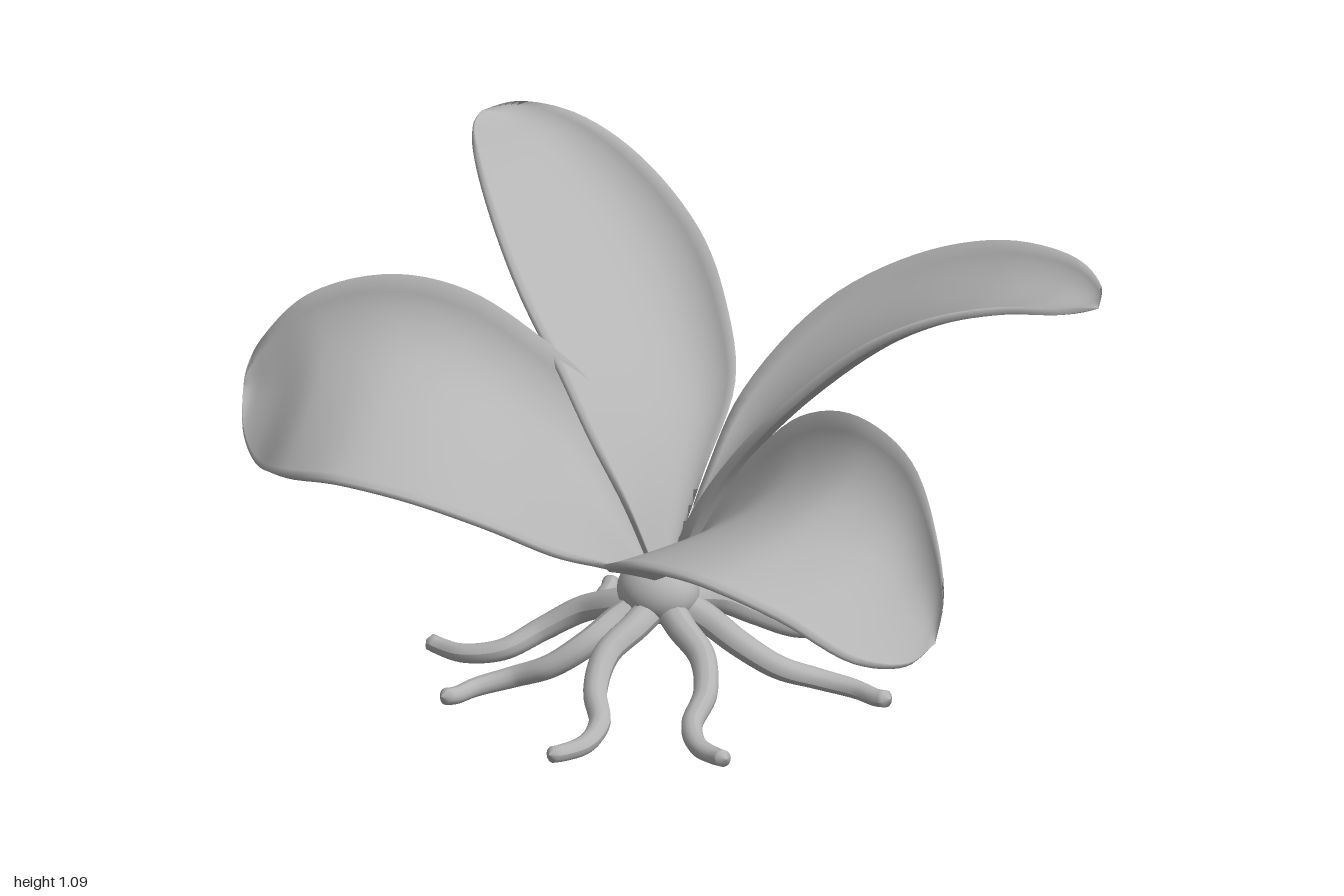
import * as THREE from 'three';

const grey = new THREE.MeshStandardMaterial({ color: 0xb4b4b4, side: THREE.DoubleSide });
grey.name = 'grey';

const curveOf = (pts) => new THREE.CatmullRomCurve3(pts.map((p) => new THREE.Vector3(...p)));

// Cupped leaf with a thin shell: each section runs along the inner face from front
// rim to back rim and returns along the outer face. It sags to the underside.
function makeLeaf(name, side, backRim, frontRim, sag = 0.27, thickness = 0.02) {
  const back = curveOf(backRim), front = curveOf(frontRim);
  const rows = 48, cols = 24, ring = 2 * (cols + 1), pos = [], index = [];
  const middle = (u) => back.getPoint(u).add(front.getPoint(u)).multiplyScalar(0.5);
  for (let i = 0; i <= rows; i++) {
    const u = i / rows;
    const b = back.getPoint(u), f = front.getPoint(u);
    const chord = b.clone().sub(f);
    const along = middle(Math.min(1, u + 0.03)).sub(middle(Math.max(0, u - 0.03)));
    const inner = along.cross(chord).multiplyScalar(side).normalize();
    const half = 0.5 * thickness * (1 - u ** 16);
    for (let j = 0; j < ring; j++) {
      const w = (j <= cols ? j : ring - 1 - j) / cols;
      const drop = sag * chord.length() * w ** 0.9 * (1 - w ** 4) ** 0.85;
      const p = f.clone().lerp(b, w).addScaledVector(inner, (j <= cols ? half : -half) - drop);
      pos.push(p.x, p.y, p.z);
      if (i < rows) {
        const a = i * ring + j, a1 = i * ring + ((j + 1) % ring), c = a + ring, c1 = a1 + ring;
        if (side > 0) index.push(a, c, a1, c, c1, a1);
        else index.push(a, a1, c, c, a1, c1);
      }
    }
  }
  const geo = new THREE.BufferGeometry();
  geo.setAttribute('position', new THREE.Float32BufferAttribute(pos, 3));
  geo.setIndex(index);
  geo.computeVertexNormals();
  const mesh = new THREE.Mesh(geo, grey);
  mesh.name = name;
  return mesh;
}

// Tube that tapers from r0 to r1 and closes at its far end.
function taperedTube(curve, r0, r1) {
  const segs = 48, sides = 12;
  const geo = new THREE.TubeGeometry(curve, segs, 1, sides, false);
  const pos = geo.attributes.position, p = new THREE.Vector3();
  for (let i = 0; i <= segs; i++) {
    const centre = curve.getPointAt(i / segs);
    const r = i === segs ? 0.0001 : r0 + (r1 - r0) * (i / segs);
    for (let j = 0; j <= sides; j++) {
      const k = i * (sides + 1) + j;
      p.fromBufferAttribute(pos, k).sub(centre).multiplyScalar(r).add(centre);
      pos.setXYZ(k, p.x, p.y, p.z);
    }
  }
  geo.computeVertexNormals();
  return geo;
}

// Wavy root from the bulb to its end on the ground.
function makeRoot(x, z, wave) {
  const len = Math.hypot(x, z), dx = x / len, dz = z / len;
  // distance along the root, height, sideways wiggle
  const path = [[0.05, 0.21, 0], [0.2, 0.18, -0.3], [0.36, 0.14, -0.9], [0.52, 0.085, -0.5],
    [0.66, 0.045, 0.7], [0.82, 0.028, 0.9], [0.93, 0.026, 0.3], [1, 0.034, 0]];
  const curve = curveOf(path.map(([t, y, w]) =>
    [dx * len * t - dz * w * wave, y, dz * len * t + dx * w * wave]));
  const mesh = new THREE.Mesh(taperedTube(curve, 0.038, 0.02), grey);
  mesh.name = 'root';
  return mesh;
}

export function createModel() {
  const model = new THREE.Group();
  model.name = 'leafySprout';

  // Bulb
  const bulb = new THREE.Mesh(new THREE.SphereGeometry(0.092, 32, 20), grey);
  bulb.name = 'bulb';
  bulb.scale.set(1.1, 0.86, 0.96);
  bulb.position.set(-0.007, 0.234, 0.01);
  model.add(bulb);

  // Roots
  const roots = new THREE.Group();
  roots.name = 'roots';
  const ends = [[-0.56, 0.16], [-0.35, 0.43], [0.05, 0.59], [0.42, 0.39],
    [0.56, -0.12], [0.19, -0.54], [-0.38, -0.38]];
  ends.forEach(([x, z], i) => roots.add(makeRoot(x, z, i % 2 ? 0.045 : -0.045)));
  model.add(roots);

  // Leaves: rim on the back side, then rim on the front side, both from base to tip
  model.add(makeLeaf('backLeftLeaf', 1,
    [[0.01, 0.27, -0.04], [0.01, 0.46, -0.19], [0.02, 0.62, -0.34], [0.15, 0.82, -0.49], [0.35, 0.955, -0.575],
      [0.58, 1.035, -0.6], [0.8, 1.055, -0.56], [0.92, 1.04, -0.48], [0.965, 1.03, -0.4]],
    [[0.03, 0.28, 0], [0.1, 0.43, 0.05], [0.19, 0.58, 0.06], [0.33, 0.76, 0.045], [0.51, 0.94, -0.04],
      [0.66, 1.025, -0.12], [0.8, 1.055, -0.21], [0.91, 1.045, -0.3], [0.965, 1.03, -0.4]]));
  model.add(makeLeaf('backRightLeaf', -1,
    [[-0.01, 0.27, -0.04], [-0.01, 0.46, -0.19], [-0.02, 0.63, -0.35], [-0.12, 0.77, -0.47], [-0.26, 0.885, -0.575],
      [-0.47, 1.005, -0.64], [-0.65, 1.065, -0.65], [-0.78, 1.08, -0.61], [-0.835, 1.08, -0.53]],
    [[-0.03, 0.28, 0], [-0.1, 0.43, 0.01], [-0.2, 0.57, 0], [-0.31, 0.7, -0.04], [-0.47, 0.84, -0.12],
      [-0.61, 0.96, -0.22], [-0.74, 1.045, -0.35], [-0.81, 1.07, -0.45], [-0.835, 1.08, -0.53]]));
  model.add(makeLeaf('frontLeftLeaf', 1,
    [[0.02, 0.27, -0.03], [0.08, 0.42, -0.08], [0.19, 0.57, -0.085], [0.36, 0.735, -0.045], [0.58, 0.82, 0.05],
      [0.78, 0.785, 0.14], [0.91, 0.665, 0.24], [0.98, 0.55, 0.32], [0.995, 0.46, 0.38]],
    [[0.01, 0.28, 0.05], [0.03, 0.37, 0.23], [0.11, 0.47, 0.43], [0.29, 0.57, 0.585], [0.5, 0.6, 0.645],
      [0.7, 0.54, 0.61], [0.87, 0.44, 0.54], [0.96, 0.42, 0.45], [0.995, 0.46, 0.38]]));
  model.add(makeLeaf('frontRightLeaf', -1,
    [[-0.04, 0.27, -0.01], [-0.13, 0.45, -0.04], [-0.25, 0.64, -0.1], [-0.39, 0.795, -0.03], [-0.54, 0.89, 0.03],
      [-0.7, 0.915, 0.1], [-0.87, 0.855, 0.18], [-0.965, 0.74, 0.23], [-0.99, 0.68, 0.25], [-1, 0.63, 0.27]],
    [[-0.03, 0.28, 0.05], [-0.035, 0.36, 0.21], [-0.08, 0.43, 0.35], [-0.19, 0.53, 0.49], [-0.35, 0.595, 0.58],
      [-0.53, 0.61, 0.61], [-0.71, 0.565, 0.555], [-0.86, 0.52, 0.43], [-0.95, 0.55, 0.34],
      [-1, 0.63, 0.27]]));

  return model;
}
